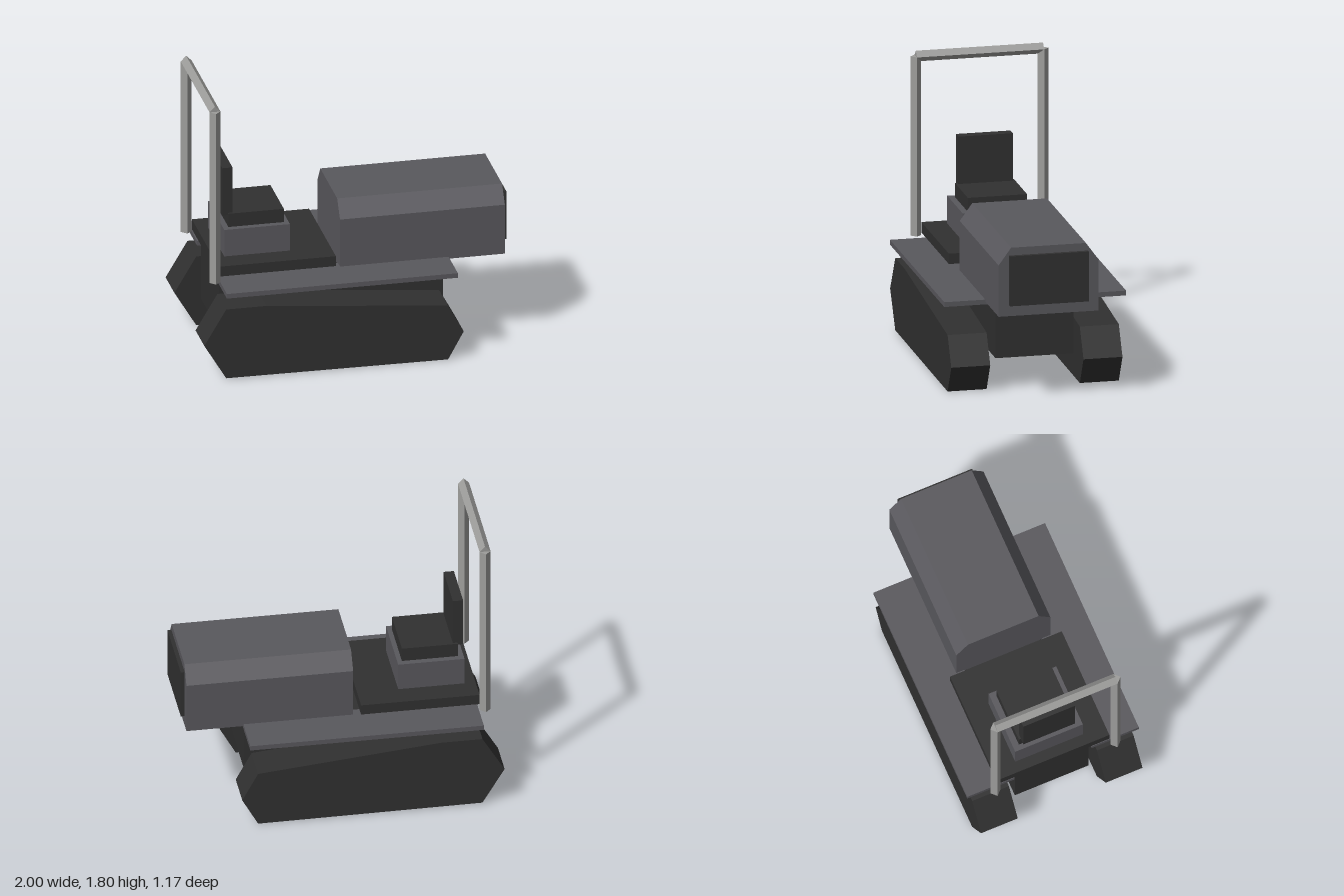
import * as THREE from 'three';

const mat = (name, color) => {
  const m = new THREE.MeshStandardMaterial({ color });
  m.name = name;
  return m;
};

export function createModel() {
  const model = new THREE.Group();
  model.name = 'crawlerTractor';
  const body = mat('bodyGrey', 0x59585d);
  const dark = mat('darkRubber', 0x303030);
  const steel = mat('steelGrey', 0x9c9c9a);

  const add = (name, geometry, material) => {
    const mesh = new THREE.Mesh(geometry, material);
    mesh.name = name;
    model.add(mesh);
    return mesh;
  };

  // Box given by its limits on each axis
  const box = (name, material, [x0, x1], [y0, y1], [z0, z1]) =>
    add(name, new THREE.BoxGeometry(x1 - x0, y1 - y0, z1 - z0), material)
      .position.set((x0 + x1) / 2, (y0 + y1) / 2, (z0 + z1) / 2);

  // Straight prism from a closed outline
  const prism = (points, depth) => new THREE.ExtrudeGeometry(
    new THREE.Shape(points.map(([x, y]) => new THREE.Vector2(x, y))),
    { depth, bevelEnabled: false });

  // Chassis, floor and seat
  box('chassis', dark, [-0.84, 0.595], [0.21, 0.585], [-0.25, 0.25]);
  box('floorDeck', dark, [-0.87, -0.12], [0.633, 0.7], [-0.38, 0.38]);
  box('seatBase', body, [-0.8, -0.38], [0.7, 0.88], [-0.23, 0.23]);
  box('seatCushion', dark, [-0.765, -0.41], [0.88, 0.97], [-0.19, 0.19]);
  box('seatBack', dark, [-0.8, -0.735], [0.955, 1.277], [-0.175, 0.175]);

  // Engine hood with chamfered top edges, running along x
  const hood = prism([
    [-0.32, 0.587], [0.32, 0.587], [0.32, 0.92],
    [0.24, 1.03], [-0.24, 1.03], [-0.32, 0.92],
  ], 1.055);
  hood.rotateY(Math.PI / 2);
  hood.translate(-0.08, 0, 0);
  add('hood', hood, body);
  box('grille', dark, [0.975, 1], [0.657, 0.98], [-0.253, 0.253]);

  // Tracks, fenders and roll bar posts on both sides
  const track = prism([
    [-1, 0.245], [-0.86, 0.012], [0.56, 0.004], [0.66, 0.185],
    [0.56, 0.37], [-0.6, 0.48], [-0.86, 0.48],
  ], 0.25);
  track.translate(0, 0, -0.125);
  for (const side of [1, -1]) {
    const label = side > 0 ? 'Front' : 'Back';
    add('track' + label, track, dark).position.z = side * 0.424;
    const edges = [side * 0.263, side * 0.583].sort((a, b) => a - b);
    box('fender' + label, body, [-0.863, 0.615], [0.569, 0.6], edges);
    add('rollBarPost' + label, new THREE.CylinderGeometry(0.035, 0.035, 1.162, 4).toNonIndexed(), steel)
      .position.set(-0.9, 1.189, side * 0.408);
  }

  // Roll bar cross beam
  const beam = new THREE.CylinderGeometry(0.035, 0.035, 0.816, 4).toNonIndexed();
  beam.rotateX(Math.PI / 2);
  add('rollBarBeam', beam, steel).position.set(-0.9, 1.77, 0);

  // Faceted steel bars
  model.traverse((o) => {
    if (o.isMesh && o.material === steel) o.geometry.computeVertexNormals();
  });
  return model;
}
